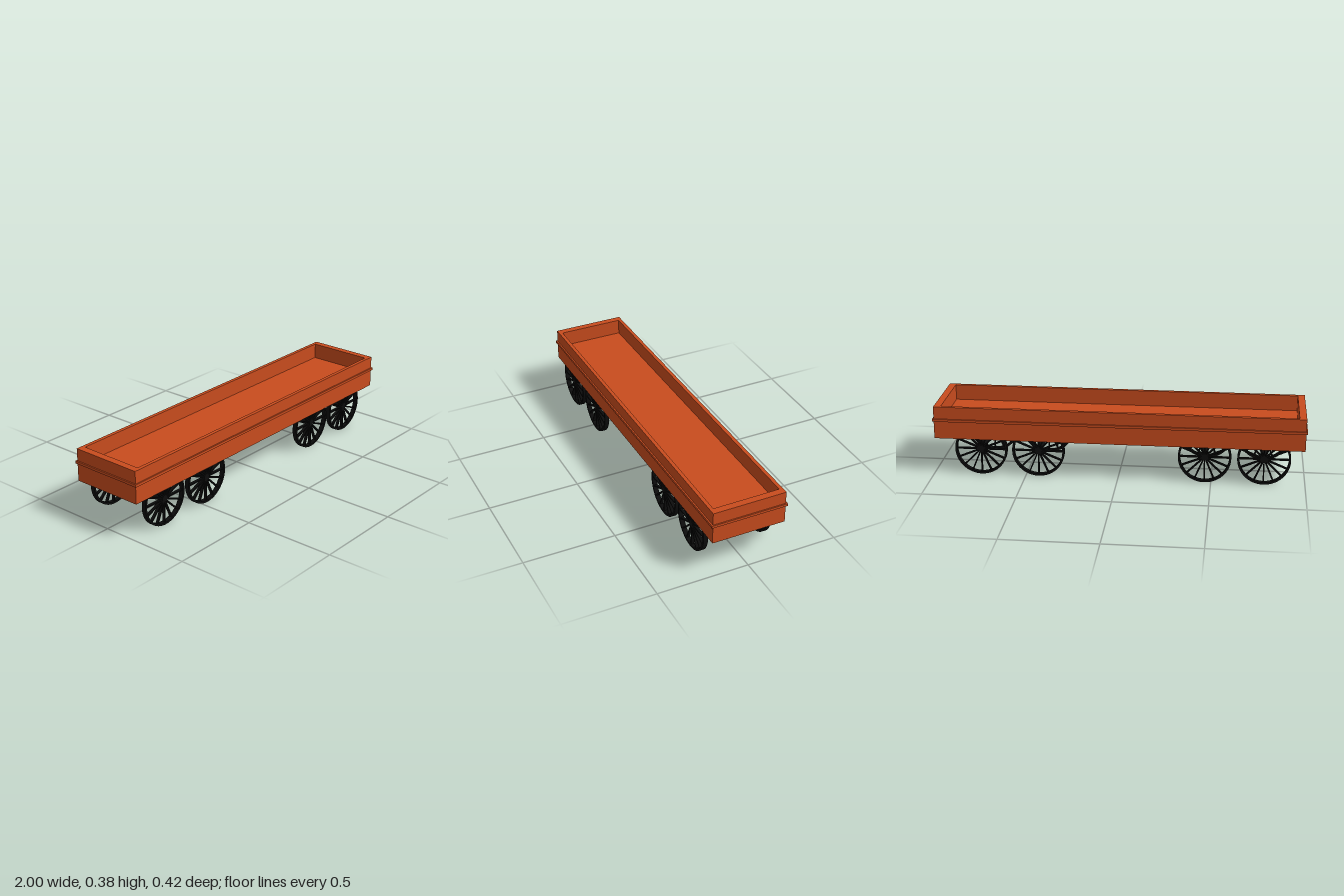
import * as THREE from 'three';

const paint = new THREE.MeshStandardMaterial({ color: 0xc94c1e });
const iron = new THREE.MeshStandardMaterial({ color: 0x0c0c0c });

const R = 0.142, AXLE_Y = 0.145, AXLE_R = 0.018, WHEEL_Z = 0.1785, WHEEL_W = 0.025;

function add(parent, name, geo, mat, x = 0, y = 0, z = 0) {
  const mesh = new THREE.Mesh(geo, mat);
  mesh.name = name;
  mesh.position.set(x, y, z);
  parent.add(mesh);
  return mesh;
}

// Upright rectangular frame: outer and inner half sizes, extruded from y = 0 to y = h
function frame(ox, oz, ix, iz, h) {
  const rect = (P, x, z) => new P([[-x, -z], [x, -z], [x, z], [-x, z]].map(p => new THREE.Vector2(...p)));
  const shape = rect(THREE.Shape, ox, oz);
  shape.holes.push(rect(THREE.Path, ix, iz));
  return new THREE.ExtrudeGeometry(shape, { depth: h, bevelEnabled: false }).rotateX(-Math.PI / 2);
}

// Spoked wheel in the xy plane
function makeWheel() {
  const wheel = new THREE.Group();
  const ring = new THREE.Shape().absarc(0, 0, R, 0, Math.PI * 2);
  ring.holes.push(new THREE.Path().absarc(0, 0, R - 0.011, 0, Math.PI * 2, true));
  const rim = new THREE.ExtrudeGeometry(ring, { depth: WHEEL_W, bevelEnabled: false, curveSegments: 32 });
  add(wheel, 'rim', rim.translate(0, 0, -WHEEL_W / 2), iron);
  const count = 16, length = R - 0.006;
  const spoke = new THREE.BoxGeometry(0.007, length, 0.016).translate(0, length / 2, 0);
  for (let i = 0; i < count; i++) {
    add(wheel, 'spoke', spoke, iron).rotation.z = (i / count) * Math.PI * 2;
  }
  return wheel;
}

export function createModel() {
  const model = new THREE.Group();
  model.name = 'openWagon';

  // Open box body: solid lower part, raised walls, rubbing strip
  const body = new THREE.Group();
  body.name = 'body';
  model.add(body);
  add(body, 'floor', new THREE.BoxGeometry(1.986, 0.092, 0.402), paint, 0, 0.246, 0);
  add(body, 'walls', frame(0.993, 0.201, 0.955, 0.181, 0.086), paint, 0, 0.292, 0);
  add(body, 'strip', frame(1.0, 0.209, 0.985, 0.195, 0.014), paint, 0, 0.297, 0);

  // Four axles, each with a pair of wheels
  const axle = new THREE.CylinderGeometry(AXLE_R, AXLE_R, 2 * WHEEL_Z + WHEEL_W - 0.004, 24).rotateX(Math.PI / 2);
  for (const x of [-0.779, -0.464, 0.43, 0.742]) {
    const set = new THREE.Group();
    set.name = 'wheelset';
    set.position.set(x, R, 0);
    model.add(set);
    add(set, 'axle', axle, iron, 0, AXLE_Y - R, 0);
    for (const side of [-1, 1]) {
      const wheel = makeWheel();
      wheel.name = side > 0 ? 'frontWheel' : 'backWheel';
      wheel.position.z = side * WHEEL_Z;
      set.add(wheel);
    }
  }
  return model;
}
